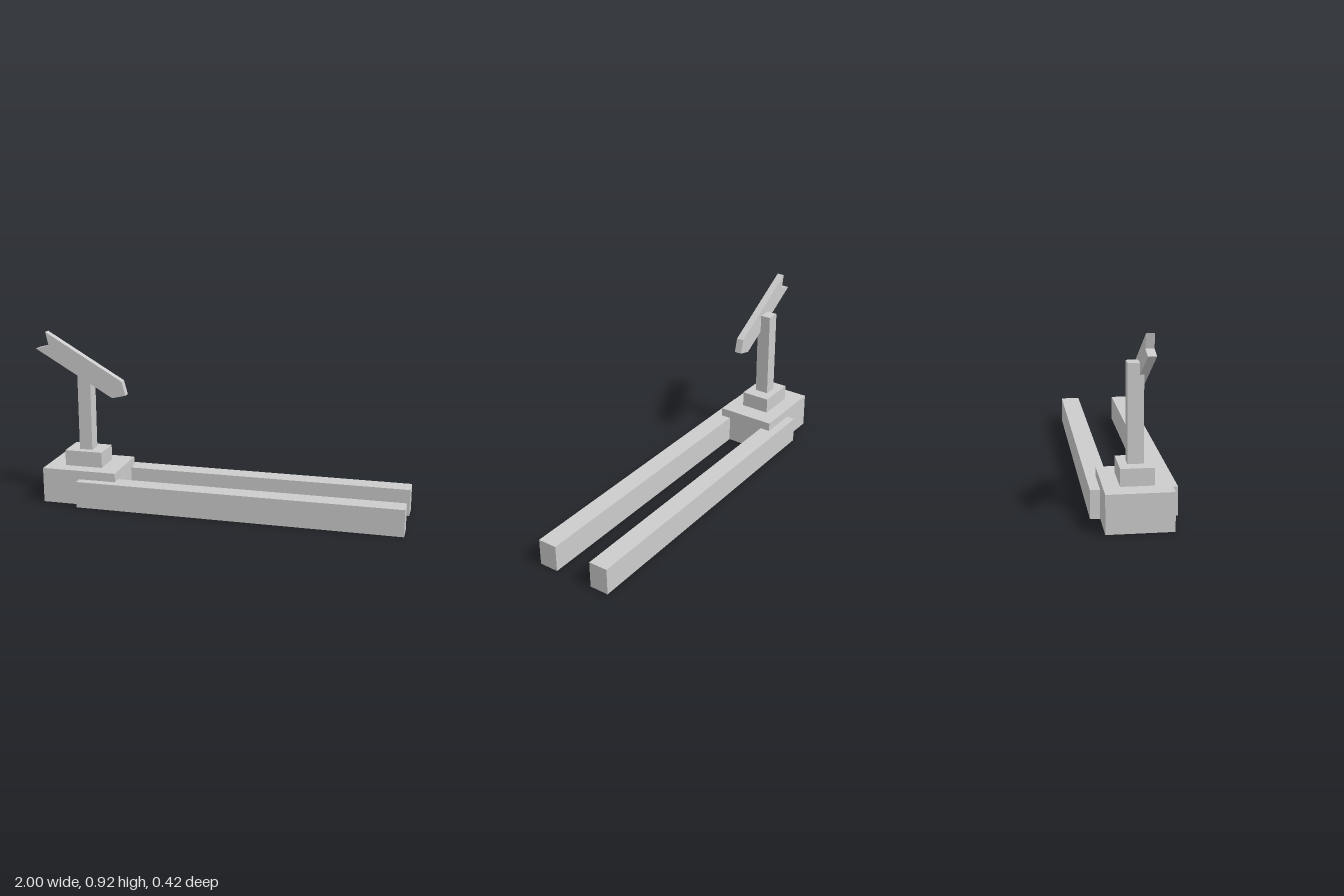
import * as THREE from 'three';

const grey = new THREE.MeshStandardMaterial({ color: 0xcccccc, side: THREE.DoubleSide, flatShading: true });

// Box given by its extents, without an underside (a hollow shell)
function shell(name, [x0, x1], [y0, y1], [z0, z1]) {
  const geometry = new THREE.BoxGeometry(x1 - x0, y1 - y0, z1 - z0);
  const index = Array.from(geometry.index.array);
  index.splice(18, 6); // bottom face
  geometry.setIndex(index);
  geometry.clearGroups();
  geometry.translate((x0 + x1) / 2, (y0 + y1) / 2, (z0 + z1) / 2);
  const mesh = new THREE.Mesh(geometry, grey);
  mesh.name = name;
  return mesh;
}

export function createModel() {
  const model = new THREE.Group();
  model.name = 'signpostWithRails';

  // Stepped pedestal and post
  model.add(
    shell('base', [-0.945, -0.535], [0, 0.19], [-0.16, 0.16]),
    shell('step', [-0.845, -0.637], [0.19, 0.275], [-0.08, 0.08]),
    shell('post', [-0.777, -0.705], [0.275, 0.75], [-0.038, 0.038])
  );

  // Pair of long rails
  model.add(
    shell('leftRail', [-0.738, 1], [0, 0.143], [0.105, 0.208]),
    shell('rightRail', [-0.738, 1], [0, 0.143], [-0.208, -0.105])
  );

  // Tilted arrow board with a notched tail
  const outline = [
    [-1, 0.825], [-0.575, 0.577], [-0.5, 0.595],
    [-0.52, 0.67], [-0.942, 0.917], [-0.926, 0.845],
  ].map(([x, y]) => new THREE.Vector2(x, y));
  const board = new THREE.ExtrudeGeometry(new THREE.Shape(outline), { depth: 0.04, bevelEnabled: false });
  board.translate(0, 0, 0.019);
  const arrow = new THREE.Mesh(board, grey);
  arrow.name = 'arrowBoard';
  model.add(arrow);

  return model;
}
